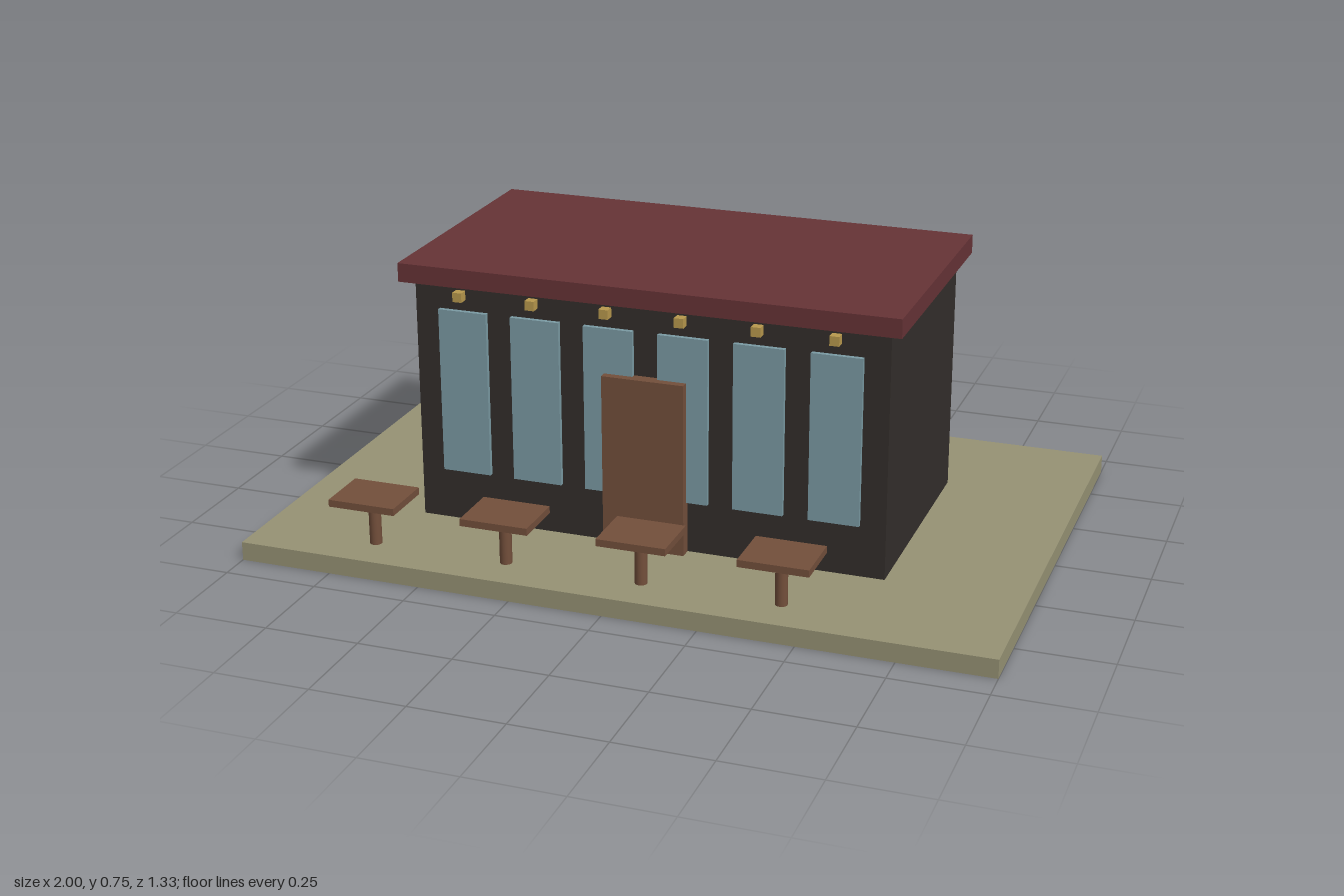
import * as THREE from 'three';

const mat = (color) => new THREE.MeshStandardMaterial({ color });
const materials = {
  ground: mat(0x99957a),
  wall: mat(0x332e2b),
  roof: mat(0x663336),
  glass: mat(0x7a9aa3),
  wood: mat(0x734f3b),
  lamp: mat(0xb8984d),
  leaf: mat(0x4a753b),
};
materials.ground.color.set(0x969274);

function add(parent, name, geometry, material, x, y, z) {
  const mesh = new THREE.Mesh(geometry, material);
  mesh.name = name;
  mesh.position.set(x, y, z);
  parent.add(mesh);
  return mesh;
}

// Box given by its size, centre x/z and bottom height
function box(parent, name, material, [w, h, d], x, bottom, z) {
  return add(parent, name, new THREE.BoxGeometry(w, h, d), material, x, bottom + h / 2, z);
}

function createTable() {
  const table = new THREE.Group();
  table.name = 'table';
  box(table, 'tableTop', materials.wood, [0.183, 0.019, 0.15], 0, 0.119, 0);
  add(table, 'tableLeg', new THREE.CylinderGeometry(0.016, 0.016, 0.12, 16), materials.wood, 0, 0.06, 0);
  return table;
}

function createTree() {
  const tree = new THREE.Group();
  tree.name = 'tree';
  add(tree, 'trunk', new THREE.CylinderGeometry(0.02, 0.03, 0.133, 16), materials.wood, 0, 0.0665, 0);
  const crown = add(tree, 'crown', new THREE.SphereGeometry(1, 32, 24), materials.leaf, 0, 0.296, 0);
  crown.scale.set(0.132, 0.198, 0.132);
  return tree;
}

export function createModel() {
  const model = new THREE.Group();
  model.name = 'cafe';
  const floor = 0.05;

  // Ground slab and building
  box(model, 'ground', materials.ground, [2, floor, 1.333], 0, 0, 0);
  box(model, 'walls', materials.wall, [1.267, 0.657, 0.667], 0, floor, 0);
  box(model, 'roof', materials.roof, [1.333, 0.05, 0.733], 0, 0.705, 0);
  box(model, 'door', materials.wood, [0.22, 0.465, 0.034], 0, floor, 0.35);

  // Row of windows with a small lamp above each
  for (let i = 0; i < 6; i++) {
    const x = -0.5 + i * 0.2;
    box(model, 'window', materials.glass, [0.133, 0.445, 0.014], x, 0.19, 0.339);
    box(model, 'lamp', materials.lamp, [0.025, 0.025, 0.025], x, 0.669, 0.36);
  }

  // Tables along the front, trees along the back
  for (let i = 0; i < 4; i++) {
    const x = -0.67 + i * 0.367;
    const table = createTable();
    table.position.set(x, floor, 0.552);
    const tree = createTree();
    tree.position.set(x, floor, -0.467);
    model.add(table, tree);
  }
  return model;
}
